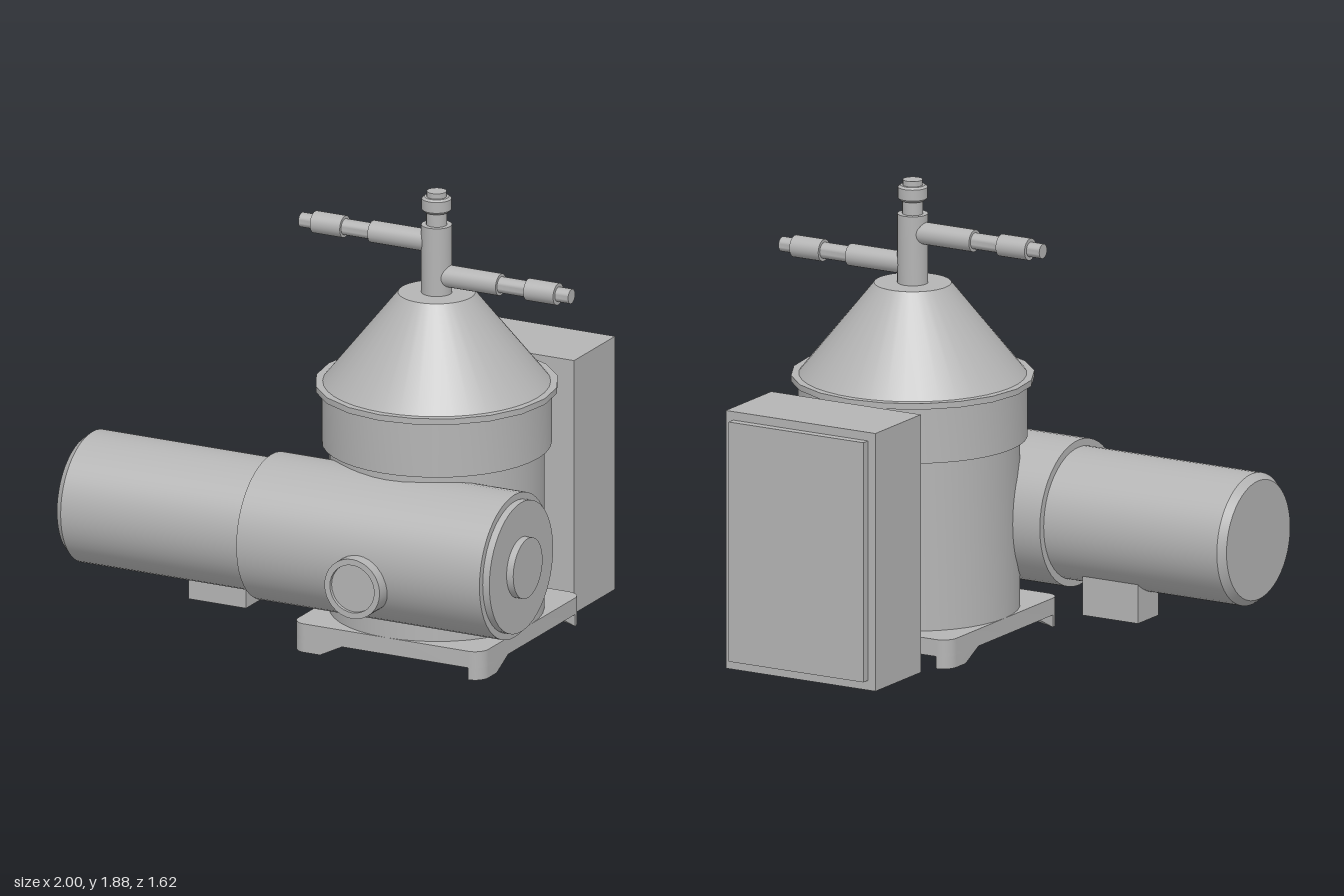
import * as THREE from 'three';
import { toCreasedNormals } from 'three/addons/utils/BufferGeometryUtils.js';

const CX = 0.39, CZ = 0.087; // bowl axis

export function createModel() {
  const model = new THREE.Group();
  model.name = 'centrifuge';
  const steel = new THREE.MeshStandardMaterial({ name: 'grey steel', color: 0xb4b4b4 });

  function add(name, geometry, x = 0, y = 0, z = 0, parent = model) {
    const mesh = new THREE.Mesh(geometry, steel);
    mesh.name = name;
    mesh.position.set(x, y, z);
    parent.add(mesh);
    return mesh;
  }
  // Turned solid from [radius, height] pairs, listed bottom to top
  function turned(profile, segments) {
    const points = profile.map(([r, h]) => new THREE.Vector2(r, h));
    return toCreasedNormals(new THREE.LatheGeometry(points, segments), 0.6);
  }
  const turnedX = (profile, segments) => turned(profile, segments).rotateZ(-Math.PI / 2);

  // Vertical bowl casing and conical hood
  add('lowerBody', turned([[0, 0.1], [0.43, 0.1], [0.43, 0.84], [0, 0.84]], 40), CX, 0, CZ);
  add('upperDrum', turned([[0, 0.82], [0.46, 0.82], [0.46, 1.06], [0, 1.06]], 40), CX, 0, CZ);
  add('flange', turned([[0, 1.05], [0.488, 1.05], [0.488, 1.075], [0, 1.075]], 20), CX, 0, CZ);
  add('hood', turned([[0, 1.07], [0.46, 1.07], [0.155, 1.45], [0, 1.45]], 40), CX, 0, CZ);

  // Feed spindle with its coupling
  add('spindle', turned([
    [0, 1.44], [0.062, 1.44], [0.062, 1.735], [0.042, 1.735], [0.042, 1.79], [0.05, 1.79],
    [0.06, 1.8], [0.06, 1.845], [0.05, 1.853], [0.04, 1.853], [0.04, 1.875], [0, 1.875],
  ], 24), CX, 0, CZ);

  // Stepped side pipes, one each way at different heights
  const pipe = turnedX([
    [0, 0], [0.045, 0], [0.045, 0.29], [0.033, 0.29], [0.033, 0.415],
    [0.045, 0.415], [0.045, 0.55], [0.03, 0.55], [0.03, 0.61], [0, 0.61],
  ], 24);
  add('leftPipe', pipe, CX, 1.525, CZ);
  add('rightPipe', pipe, CX, 1.66, CZ).rotation.y = Math.PI;

  // Horizontal drive housing with end cover and boss
  add('driveHousing', turnedX([
    [0, -0.16], [0.3, -0.16], [0.3, 0.94], [0.272, 0.94], [0.272, 0.97],
    [0.125, 0.97], [0.125, 1], [0, 1],
  ], 48), 0, 0.49, 0.46);
  add('motor', turnedX([[0, -1], [0.245, -1], [0.27, -0.97], [0.27, -0.15], [0, -0.15]], 48), 0, 0.49, 0.46);
  add('motorFoot', new THREE.BoxGeometry(0.26, 0.18, 0.16), -0.41, 0.21, 0.37);

  // Round sight port on the front, with a shallow recess
  add('sightPort', turned([
    [0, 0.6], [0.125, 0.6], [0.125, 0.81], [0.1, 0.81], [0.1, 0.795], [0, 0.795],
  ], 32).rotateX(Math.PI / 2), CX, 0.41, 0);

  // Square base plate with rounded corners
  const base = new THREE.Group();
  base.name = 'base';
  base.position.set(CX, 0, CZ);
  model.add(base);
  const H = 0.43, R = 0.06;
  const plate = new THREE.Shape();
  for (let i = 0; i < 4; i++) {
    const a = i * Math.PI / 2 + Math.PI / 4;
    plate.absarc(Math.SQRT2 * (H - R) * Math.cos(a), Math.SQRT2 * (H - R) * Math.sin(a),
      R, a - Math.PI / 4, a + Math.PI / 4);
  }
  const plateGeometry = new THREE.ExtrudeGeometry(plate, { depth: 0.07, bevelEnabled: false, curveSegments: 6 });
  add('basePlate', toCreasedNormals(plateGeometry.rotateX(-Math.PI / 2), 0.6), 0, 0.05, 0, base);

  // Corner feet: triangular, with the inner face sloping outward to the floor
  const corner = new THREE.Shape();
  corner.moveTo(H, H - 0.23);
  corner.absarc(H - R, H - R, R, 0, Math.PI / 2);
  corner.lineTo(H - 0.23, H);
  const foot = new THREE.ExtrudeGeometry(corner, { depth: 0.05, bevelEnabled: false, curveSegments: 6 });
  const p = foot.attributes.position;
  for (let i = 0; i < p.count; i++) {
    if (p.getZ(i) > 0.01) continue;
    if (p.getX(i) < H - 0.2) p.setX(i, H - 0.13);
    if (p.getY(i) < H - 0.2) p.setY(i, H - 0.13);
  }
  const footGeometry = toCreasedNormals(foot.rotateX(-Math.PI / 2), 0.6);
  for (let i = 0; i < 4; i++) add('foot', footGeometry, 0, 0, 0, base).rotation.y = i * Math.PI / 2;

  // Control cabinet behind, with a raised door
  add('cabinet', new THREE.BoxGeometry(0.7, 1.065, 0.35), CX, 0.5325, -0.6);
  add('cabinetDoor', new THREE.BoxGeometry(0.63, 0.99, 0.045), CX, 0.535, -0.7875);

  return model;
}
